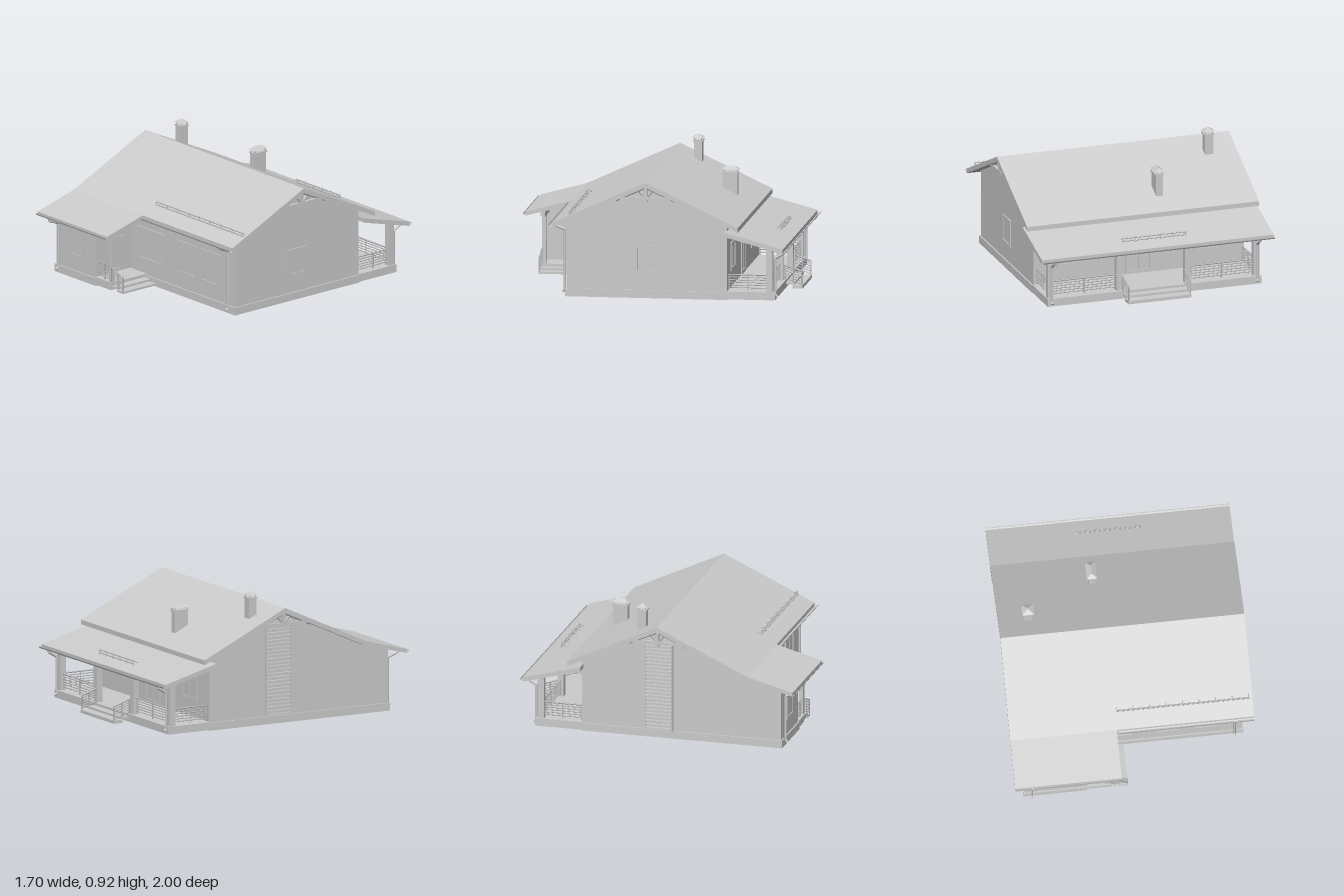
import * as THREE from 'three';

const mat = new THREE.MeshStandardMaterial({ color: 0xcccccc, side: THREE.DoubleSide });

function add(parent, name, geo) {
  const m = new THREE.Mesh(geo, mat);
  m.name = name;
  parent.add(m);
  return m;
}

function group(parent, name) {
  const g = new THREE.Group();
  g.name = name;
  parent.add(g);
  return g;
}

// box from its limits
function box(parent, name, x0, x1, y0, y1, z0, z1) {
  const g = new THREE.BoxGeometry(x1 - x0, y1 - y0, z1 - z0);
  return add(parent, name, g.translate((x0 + x1) / 2, (y0 + y1) / 2, (z0 + z1) / 2));
}

// (z, y) outline extruded along x
function profile(parent, name, pts, x0, x1) {
  const s = new THREE.Shape(pts.map(([z, y]) => new THREE.Vector2(z, y)));
  const g = new THREE.ExtrudeGeometry(s, { depth: x1 - x0, bevelEnabled: false });
  return add(parent, name, g.rotateY(-Math.PI / 2).translate(x1, 0, 0));
}

// straight bar between two points; four sides or round
function bar(parent, name, a, b, r, sides = 4) {
  const A = new THREE.Vector3(...a), B = new THREE.Vector3(...b);
  const g = new THREE.CylinderGeometry(r, r, A.distanceTo(B), sides);
  if (sides === 4) g.rotateY(Math.PI / 4);
  const m = add(parent, name, g);
  m.position.copy(A).lerp(B, 0.5);
  m.quaternion.setFromUnitVectors(new THREE.Vector3(0, 1, 0), B.sub(A).normalize());
  return m;
}

// framed window or door facing +z, then turned and placed
function opening(parent, name, w, h, x, y, z, turn, panes) {
  const g = group(parent, name), f = 0.022, d = 0.008;
  for (const s of [-1, 1]) {
    const c = s * (w - f) / 2;
    box(g, 'frameSide', c - f / 2, c + f / 2, 0, h, -0.035, d);
    const yy = s < 0 ? 0 : h - f;
    box(g, 'frameRail', -w / 2, w / 2, yy, yy + f, -0.035, d);
  }
  box(g, 'pane', -w / 2 + f, w / 2 - f, f, h - f, -0.02, 0.002);
  for (let i = 1; i < panes; i++) {
    const c = -w / 2 + w * i / panes;
    box(g, 'mullion', c - 0.005, c + 0.005, f, h - f, -0.022, 0.005);
  }
  g.position.set(x, y, z);
  g.rotation.y = turn;
  return g;
}

// horizontal rails with end posts
function railing(parent, name, a, b) {
  const g = group(parent, name), up = (p, h) => [p[0], p[1] + h, p[2]];
  for (let i = 0; i < 6; i++) bar(g, 'rail', up(a, 0.02 + i * 0.018), up(b, 0.02 + i * 0.018), i === 5 ? 0.006 : 0.004);
  for (const t of [0, 0.5, 1]) {
    const p = a.map((v, i) => v + (b[i] - v) * t);
    bar(g, 'baluster', p, up(p, 0.112), 0.005);
  }
}

function gutter(parent, x0, x1, y, z) {
  const g = new THREE.CylinderGeometry(0.017, 0.017, x1 - x0, 10, 1, true, Math.PI, Math.PI);
  add(parent, 'gutter', g.rotateZ(Math.PI / 2).translate((x0 + x1) / 2, y, z));
}

function downpipe(parent, x, pts) {
  const g = group(parent, 'downpipe');
  for (let i = 1; i < pts.length; i++)
    bar(g, 'pipe', [x, pts[i - 1][1], pts[i - 1][0]], [x, pts[i][1], pts[i][0]], 0.009, 8);
}

function snowGuard(parent, x0, x1, y, z, n, dir) {
  const g = group(parent, 'snowGuard');
  for (const h of [0.015, 0.035]) bar(g, 'guardRail', [x0, y + h, z], [x1, y + h, z], 0.004);
  for (let i = 0; i <= n; i++) {
    const x = x0 + (x1 - x0) * i / n;
    profile(g, 'guardBracket', [[z - 0.008, y - 0.01], [z + 0.008, y - 0.01], [z, y + 0.045]], x - 0.003, x + 0.003);
    bar(g, 'guardFoot', [x, y + 0.035, z], [x, y + 0.02, z - dir * 0.035], 0.003);
  }
}

function chimney(parent, x, z, w, d, y0, top) {
  const g = group(parent, 'chimney');
  box(g, 'stack', x - w / 2, x + w / 2, y0, top - 0.045, z - d / 2, z + d / 2);
  box(g, 'stackCollar', x - w / 2 - 0.006, x + w / 2 + 0.006, top - 0.05, top - 0.04, z - d / 2 - 0.006, z + d / 2 + 0.006);
  for (const i of [-1, 1]) for (const j of [-1, 1]) {
    const px = x + i * (w / 2 - 0.005), pz = z + j * (d / 2 - 0.005);
    bar(g, 'capLeg', [px, top - 0.045, pz], [px, top - 0.02, pz], 0.004);
  }
  // hipped cap: a box whose upper corners are drawn in to a ridge
  const cw = w + 0.02, cd = d + 0.02, geo = new THREE.BoxGeometry(cw, 0.024, cd).toNonIndexed();
  const p = geo.attributes.position;
  for (let i = 0; i < p.count; i++) if (p.getY(i) > 0) {
    p.setX(i, 0);
    p.setZ(i, Math.sign(p.getZ(i)) * Math.max(0.001, (cd - cw) / 2));
  }
  geo.computeVertexNormals();
  add(g, 'cap', geo.translate(x, top - 0.012, z));
}

export function createModel() {
  const house = new THREE.Group();
  house.name = 'house';

  // walls: open underneath, the left gable runs on along the entrance wing
  const walls = group(house, 'walls');
  profile(walls, 'leftGable', [[-0.55, 0], [0.57, 0], [0.57, 0.54], [0.01, 0.79], [-0.55, 0.525]], 0.745, 0.77);
  profile(walls, 'rightGable', [[-0.55, 0], [0.88, 0], [0.88, 0.44], [0.66, 0.495], [0.01, 0.79], [-0.55, 0.525]], -0.77, -0.745);
  box(walls, 'frontWall', -0.35, 0.77, 0, 0.54, 0.545, 0.57);
  box(walls, 'backWall', -0.77, 0.77, 0, 0.52, -0.55, -0.525);
  box(walls, 'wingFrontWall', -0.77, -0.345, 0, 0.44, 0.855, 0.88);
  profile(walls, 'wingSideWall', [[0.55, 0], [0.88, 0], [0.88, 0.44], [0.66, 0.495], [0.55, 0.54]], -0.37, -0.345);

  // plinth
  const plinth = group(house, 'plinth');
  box(plinth, 'plinthFront', -0.345, 0.78, 0, 0.055, 0.56, 0.58);
  box(plinth, 'plinthWing', -0.78, -0.34, 0, 0.055, 0.87, 0.89);
  box(plinth, 'plinthLeft', 0.76, 0.78, 0, 0.055, -0.55, 0.58);
  box(plinth, 'plinthRight', -0.78, -0.76, 0, 0.055, -0.55, 0.89);

  // roofs
  const roof = group(house, 'roof');
  profile(roof, 'mainRoof', [[0.01, 0.82], [-0.635, 0.515], [-0.635, 0.482], [0.01, 0.785], [0.66, 0.488], [0.66, 0.522]], -0.85, 0.845);
  profile(roof, 'wingRoof', [[0.64, 0.53], [0.66, 0.522], [0.985, 0.435], [0.985, 0.408], [0.64, 0.495]], -0.85, -0.11);
  profile(roof, 'verandaRoof', [[-0.54, 0.483], [-0.54, 0.452], [-0.95, 0.342], [-0.95, 0.373]], -0.85, 0.845);
  gutter(roof, -0.1, 0.845, 0.51, 0.67);
  gutter(roof, -0.85, -0.11, 0.427, 0.983);
  gutter(roof, -0.85, 0.845, 0.362, -0.955);
  snowGuard(roof, -0.1, 0.82, 0.565, 0.545, 8, 1);
  snowGuard(roof, -0.24, 0.22, 0.395, -0.85, 5, -1);
  chimney(roof, -0.643, -0.148, 0.062, 0.058, 0.7, 0.922);
  chimney(roof, -0.172, -0.44, 0.05, 0.105, 0.55, 0.782);

  // gable trusses
  for (const x of [-0.825, 0.82]) {
    const t = group(house, 'gableTruss');
    box(t, 'kingPost', x - 0.01, x + 0.01, 0.68, 0.8, 0, 0.02);
    box(t, 'collarBeam', x - 0.01, x + 0.01, 0.695, 0.715, -0.17, 0.19);
    for (const s of [-1, 1]) {
      const c = new THREE.QuadraticBezierCurve3(new THREE.Vector3(x, 0.705, 0.01 + s * 0.015),
        new THREE.Vector3(x, 0.75, 0.01 + s * 0.02), new THREE.Vector3(x, 0.765, 0.01 + s * 0.07));
      add(t, 'curvedBrace', new THREE.TubeGeometry(c, 8, 0.009, 6));
      bar(t, 'rafter', [x, 0.785, 0.01], [x, 0.69, 0.01 + s * 0.21], 0.014);
    }
  }

  // windows and doors
  for (const [x0, x1, z, n] of [[-0.63, -0.47, 0.88, 1], [-0.26, 0.03, 0.57, 2], [0.15, 0.365, 0.57, 2], [0.41, 0.62, 0.57, 2]])
    opening(house, 'frontWindow', x1 - x0, 0.24, (x0 + x1) / 2, 0.155, z, 0, n);
  opening(house, 'leftWindow', 0.17, 0.2, 0.77, 0.17, 0.013, Math.PI / 2, 1);
  for (const x of [-0.5, 0.5]) opening(house, 'backWindow', 0.21, 0.2, x, 0.17, -0.55, Math.PI, 2);
  opening(house, 'backDoor', 0.2, 0.28, 0, 0.065, -0.55, Math.PI, 2);
  const door = opening(house, 'frontDoor', 0.115, 0.25, -0.345, 0.07, 0.69, Math.PI / 2, 1);
  bar(door, 'doorHandle', [-0.04, 0.12, 0.012], [-0.04, 0.14, 0.012], 0.004, 8);

  // slatted panel up the right gable
  const slats = group(house, 'slattedPanel');
  for (const z of [-0.1, 0.1]) box(slats, 'slatPost', -0.785, -0.77, 0.05, 0.72, z - 0.006, z + 0.006);
  for (let i = 0; i < 26; i++) box(slats, 'slat', -0.788, -0.77, 0.06 + i * 0.026, 0.07 + i * 0.026, -0.1, 0.1);

  // entrance porch with steps down to the left
  const porch = group(house, 'porch');
  box(porch, 'porchFloor', -0.35, -0.17, 0.03, 0.065, 0.57, 0.89);
  box(porch, 'porchBase', -0.35, -0.19, 0.005, 0.03, 0.58, 0.88);
  box(porch, 'upperStep', -0.17, -0.11, 0.03, 0.045, 0.59, 0.885);
  box(porch, 'lowerStep', -0.12, -0.055, 0.012, 0.027, 0.59, 0.885);
  box(porch, 'porchPost', -0.21, -0.18, 0.065, 0.44, 0.85, 0.88);
  box(porch, 'porchBeam', -0.35, -0.13, 0.4, 0.435, 0.85, 0.88);
  railing(porch, 'porchRailing', [-0.34, 0.065, 0.87], [-0.19, 0.065, 0.87]);
  railing(porch, 'stepRailing', [-0.18, 0.06, 0.88], [-0.06, 0.015, 0.88]);

  // back veranda
  const veranda = group(house, 'veranda');
  box(veranda, 'verandaFloor', -0.78, 0.78, 0.005, 0.06, -0.885, -0.55);
  box(veranda, 'verandaBeam', -0.78, 0.78, 0.345, 0.38, -0.86, -0.835);
  for (const x of [-0.75, -0.25, 0.25, 0.75]) box(veranda, 'verandaPost', x - 0.022, x + 0.022, 0.06, 0.385, -0.868, -0.824);
  for (const s of [-1, 1]) {
    railing(veranda, 'backRailing', [s * 0.73, 0.065, -0.847], [s * 0.27, 0.065, -0.847]);
    railing(veranda, 'sideRailing', [s * 0.75, 0.065, -0.56], [s * 0.75, 0.065, -0.83]);
    railing(veranda, 'stairRailing', [s * 0.225, 0.05, -0.875], [s * 0.225, 0.01, -0.993]);
  }
  box(veranda, 'upperStep', -0.23, 0.23, 0.028, 0.043, -0.945, -0.88);
  box(veranda, 'lowerStep', -0.23, 0.23, 0, 0.022, -1, -0.93);

  // downpipes
  downpipe(house, 0.715, [[0.67, 0.5], [0.66, 0.485], [0.59, 0.46], [0.59, 0.04], [0.605, 0.025]]);
  downpipe(house, -0.728, [[0.985, 0.415], [0.98, 0.395], [0.9, 0.365], [0.9, 0.05], [0.915, 0.03]]);
  for (const x of [-0.75, 0.75])
    downpipe(house, x, [[-0.955, 0.35], [-0.95, 0.335], [-0.885, 0.295], [-0.885, 0.04], [-0.9, 0.025]]);

  return house;
}
